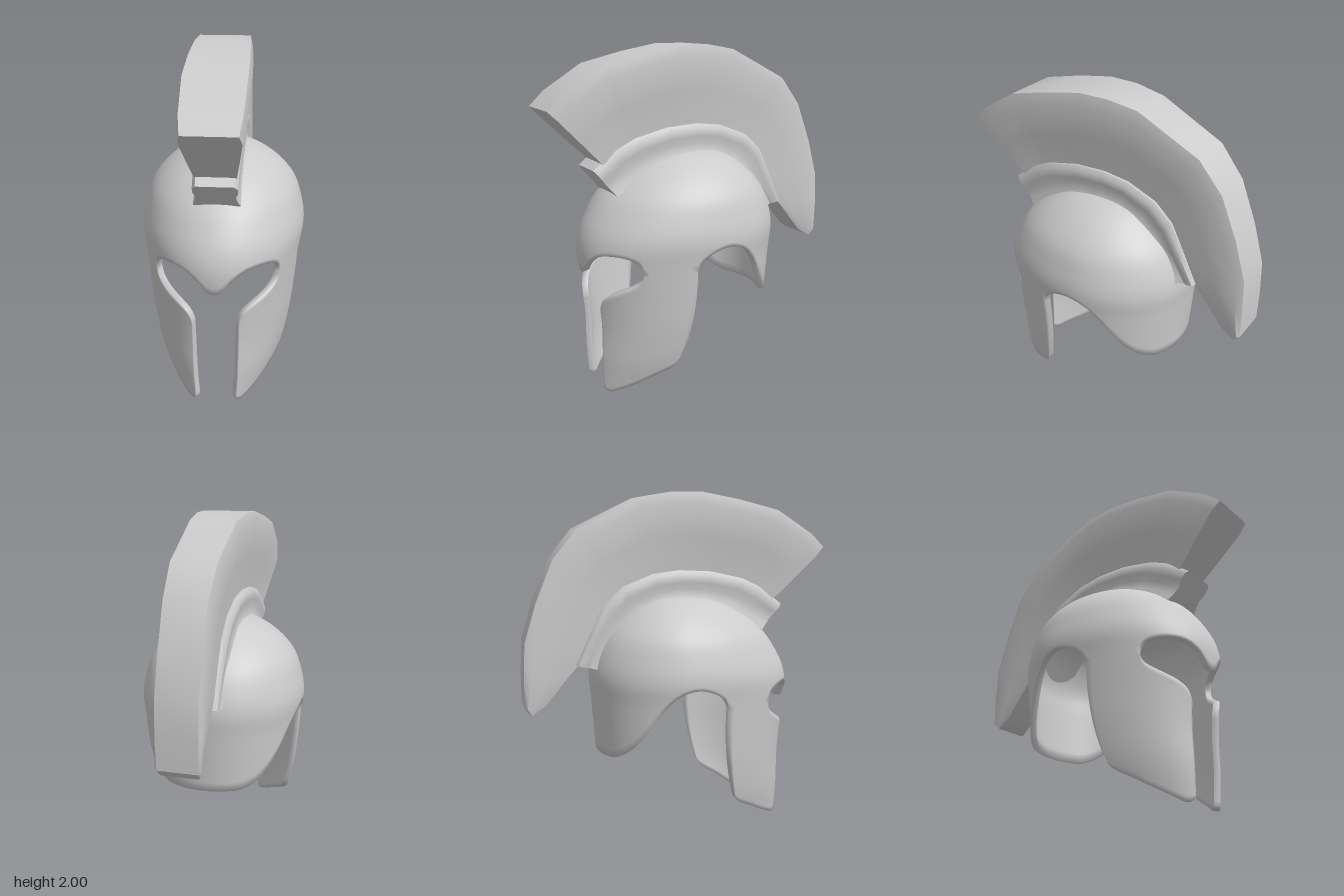
import * as THREE from 'three';
import { mergeVertices, toCreasedNormals } from 'three/addons/utils/BufferGeometryUtils.js';

const THICKNESS = 0.034;
const lerp = THREE.MathUtils.lerp;

// Horizontal sections of the shell: [half width, height, front reach, back reach]
const sections = [
  [0.33, 0, 0.68, 0.45], [0.40, 0.2, 0.68, 0.47], [0.44, 0.4, 0.675, 0.485],
  [0.46, 0.6, 0.69, 0.50], [0.475, 0.8, 0.715, 0.515], [0.488, 0.93, 0.70, 0.525],
  [0.468, 1.05, 0.645, 0.50], [0.42, 1.18, 0.55, 0.435], [0.31, 1.3, 0.40, 0.31],
  [0.17, 1.38, 0.23, 0.18], [0, 1.41, 0, 0],
];
const profile = (k) => new THREE.CatmullRomCurve3(
  sections.map((s) => new THREE.Vector3(s[0], s[1], s[k])), false, 'catmullrom', 0.5);
const frontProfile = profile(2);
const backProfile = profile(3);

// Point on the outer skin at angle a (0 = front, +x = left) and profile position t
function skin(a, t) {
  const p = (Math.cos(a) >= 0 ? frontProfile : backProfile).getPoint(t);
  return new THREE.Vector3(p.x * Math.sin(a), p.y, p.z * Math.cos(a));
}

function inside(a, t) {
  const e = 0.004;
  const da = skin(a + e, t).sub(skin(a - e, t));
  const dt = skin(a, Math.min(t + e, 0.999)).sub(skin(a, Math.max(t - e, 0)));
  return skin(a, t).addScaledVector(da.cross(dt).normalize(), -THICKNESS);
}

function heightToT(y) {
  let lo = 0, hi = 1;
  for (let i = 0; i < 30; i++) {
    const mid = (lo + hi) / 2;
    if (frontProfile.getPoint(mid).y < y) lo = mid; else hi = mid;
  }
  return (lo + hi) / 2;
}

// Double-walled patch between an upper and a lower edge, both lists of (angle, t)
function addPatch(out, top, bottom, rows, rim) {
  const grid = (fn) => top.map((p, i) => Array.from({ length: rows + 1 }, (_, j) => {
    const s = j / rows;
    return fn(lerp(p.x, bottom[i].x, s * s), lerp(p.y, bottom[i].y, s));
  }));
  const o = grid(skin), n = grid(inside);
  const quad = (a, b, c, d) => [a, b, c, a, c, d].forEach((v) => out.push(v.x, v.y, v.z));
  const last = top.length - 1;
  for (let i = 0; i < last; i++) {
    const k = i + 1;
    for (let j = 0; j < rows; j++) {
      quad(o[i][j], o[i][j + 1], o[k][j + 1], o[k][j]);
      quad(n[i][j], n[k][j], n[k][j + 1], n[i][j + 1]);
    }
    if (rim.bottom(i)) quad(o[i][rows], n[i][rows], n[k][rows], o[k][rows]);
    if (rim.top(i)) quad(n[i][0], o[i][0], o[k][0], n[k][0]);
  }
  if (rim.sides) {
    for (let j = 0; j < rows; j++) {
      quad(n[0][j], n[0][j + 1], o[0][j + 1], o[0][j]);
      quad(o[last][j], o[last][j + 1], n[last][j + 1], n[last][j]);
    }
  }
}

// Smooth edge line through (angle, height) points, returned as (angle, t)
function edge(points, count) {
  return new THREE.SplineCurve(points.map((p) => new THREE.Vector2(...p)))
    .getSpacedPoints(count).map((p) => new THREE.Vector2(p.x, heightToT(p.y)));
}
const mirrored = (list) => list.map((p) => new THREE.Vector2(-p.x, p.y)).reverse();

function shellGeometry() {
  const brow = edge([[0, 0.73], [0.08, 0.745], [0.212, 0.815], [0.366, 0.862], [0.56, 0.872],
    [0.72, 0.855], [0.80, 0.825], [0.828, 0.785]], 24);
  const seam = edge([[0.828, 0.785], [1.06, 0.785], [1.29, 0.785]], 10);
  const nape = edge([[1.29, 0.785], [1.33, 0.83], [1.43, 0.878], [1.571, 0.9], [1.764, 0.87],
    [1.93, 0.79], [2.135, 0.65], [2.356, 0.54], [2.6, 0.48], [2.86, 0.47], [Math.PI, 0.47]], 36);
  const out = [];

  // Dome with nose point, side arches and neck guard
  const half = [...brow, ...seam.slice(1), ...nape.slice(1)];
  const rimLine = [...mirrored(half).slice(0, -1), ...half];
  const inSeam = (i) => {
    const a = Math.abs((rimLine[i].x + rimLine[i + 1].x) / 2);
    return a > 0.828 && a < 1.29;
  };
  addPatch(out, rimLine.map((p) => new THREE.Vector2(p.x, 0.998)), rimLine, 30,
    { bottom: (i) => !inSeam(i), top: () => false, sides: false });

  // Cheek guards, joined to the dome along the seam
  const underEye = edge([[0.285, 0.53], [0.33, 0.582], [0.445, 0.628], [0.69, 0.69],
    [0.80, 0.735], [0.828, 0.785]], 20);
  const top = [...underEye, ...seam.slice(1)];
  const bottom = edge([[0.345, 0.02], [0.4, 0.002], [0.49, 0.003], [0.745, 0.06], [0.942, 0.12],
    [1.115, 0.18], [1.165, 0.23]], top.length - 1);
  const eyeSpans = 20, spans = top.length - 1;
  addPatch(out, top, bottom, 24,
    { bottom: () => true, top: (i) => i < eyeSpans, sides: true });
  addPatch(out, mirrored(top), mirrored(bottom), 24,
    { bottom: () => true, top: (i) => i >= spans - eyeSpans, sides: true });

  let g = new THREE.BufferGeometry();
  g.setAttribute('position', new THREE.Float32BufferAttribute(out, 3));
  g = mergeVertices(g, 1e-4);
  g.computeVertexNormals();
  return g;
}

// Arched band: stations [z low, y low, z high, y high, width], section gives [fraction, half width]
function archGeometry(stations, section, crease) {
  const pos = [], idx = [];
  let n = 0;
  stations.forEach(([z0, y0, z1, y1, w]) => {
    const right = section(w).map(([s, x]) => [x, lerp(y0, y1, s), lerp(z0, z1, s)]);
    const ring = [...right, ...right.map(([x, y, z]) => [-x, y, z]).reverse()];
    n = ring.length;
    pos.push(...ring.flat());
  });
  const quad = (a, b, c, d) => idx.push(a, b, c, a, c, d);
  for (let k = 0; k < stations.length - 1; k++) {
    for (let m = 0; m < n; m++) {
      const q = (m + 1) % n;
      quad(k * n + m, (k + 1) * n + m, (k + 1) * n + q, k * n + q);
    }
  }
  const end = (stations.length - 1) * n;
  for (let m = 0; m < n / 2 - 1; m++) {
    quad(m, m + 1, n - 2 - m, n - 1 - m);
    quad(end + m, end + n - 1 - m, end + n - 2 - m, end + m + 1);
  }
  const g = new THREE.BufferGeometry();
  g.setAttribute('position', new THREE.Float32BufferAttribute(pos, 3));
  g.setIndex(idx);
  return toCreasedNormals(g, crease);
}

export function createModel() {
  const group = new THREE.Group();
  group.name = 'crestedHelmet';
  const material = new THREE.MeshStandardMaterial({ color: 0xcccccc });
  const add = (name, geometry) => {
    const mesh = new THREE.Mesh(geometry, material);
    mesh.name = name;
    group.add(mesh);
  };

  add('helmetShell', shellGeometry());

  // Crest holder with a rounded lip and a coved side running into the dome
  add('crestHolder', archGeometry([
    [0.53, 1.18, 0.66, 1.335, 0.11], [0.40, 1.25, 0.52, 1.44, 0.115], [0.30, 1.30, 0.40, 1.495, 0.12],
    [0.15, 1.34, 0.2, 1.54, 0.125], [0, 1.35, 0, 1.55, 0.125], [-0.1, 1.34, -0.16, 1.53, 0.125],
    [-0.24, 1.28, -0.34, 1.46, 0.125], [-0.33, 1.2, -0.45, 1.36, 0.125], [-0.41, 1.1, -0.53, 1.2, 0.12],
    [-0.49, 0.98, -0.62, 1.01, 0.115],
  ], (w) => [[0, w + 0.02], [0.22, w + 0.005], [0.45, w - 0.005], [0.65, w + 0.01], [0.88, w + 0.01], [1, w - 0.008]], 0.8));

  // Plume fanning out from the holder, widest along its outer edge
  add('plume', archGeometry([
    [0.52, 1.28, 0.92, 1.68, 0.155], [0.47, 1.38, 0.83, 1.76, 0.17], [0.38, 1.44, 0.6, 1.9, 0.18],
    [0.22, 1.48, 0.35, 1.96, 0.178], [0.08, 1.5, 0.13, 2.0, 0.168], [-0.05, 1.5, -0.05, 2.0, 0.16],
    [-0.15, 1.49, -0.23, 1.97, 0.147], [-0.3, 1.42, -0.6, 1.79, 0.14], [-0.4, 1.32, -0.74, 1.62, 0.133],
    [-0.47, 1.2, -0.84, 1.38, 0.13], [-0.54, 1.08, -0.91, 1.15, 0.13], [-0.66, 0.95, -0.92, 0.95, 0.13],
    [-0.8, 0.78, -0.92, 0.77, 0.125], [-0.85, 0.745, -0.885, 0.73, 0.11],
  ], (w) => [[0, 0.1], [0.1, 0.104], [0.5, lerp(0.104, w, 0.55)], [0.87, w], [1, w - 0.014]], 0.7));

  return group;
}
